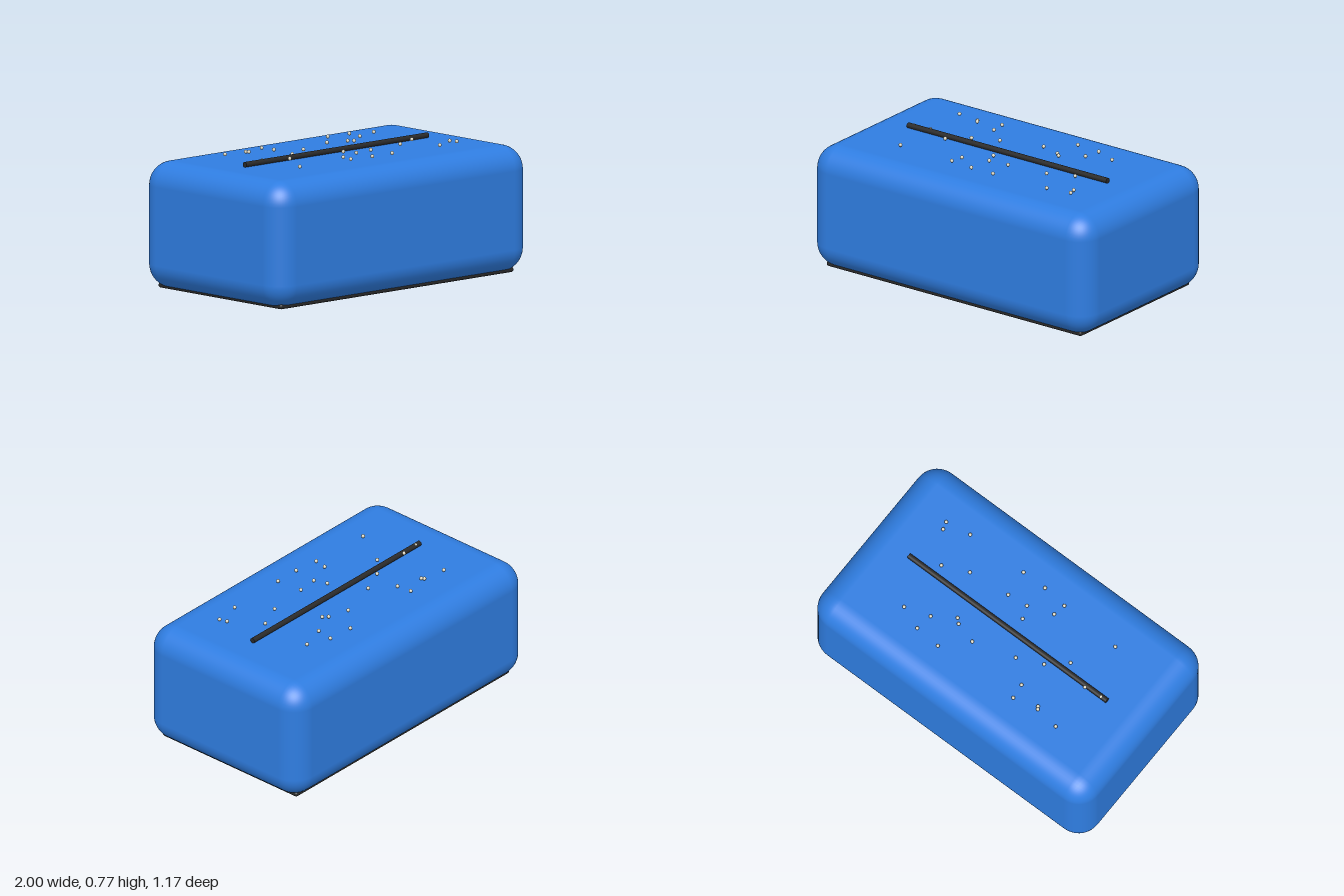
import * as THREE from 'three';
import { RoundedBoxGeometry } from 'three/addons/geometries/RoundedBoxGeometry.js';

const blue = new THREE.MeshStandardMaterial({ name: 'blue', color: 0x2f7de1 });
const black = new THREE.MeshStandardMaterial({ name: 'black', color: 0x2a2a2a });
const ivory = new THREE.MeshStandardMaterial({ name: 'ivory', color: 0xd9d4c0 });

// Scattered bead positions as [x, z]
const BEADS = [
  [-0.585, -0.307], [-0.44, -0.287], [-0.43, -0.272], [-0.286, -0.318], [-0.275, -0.227],
  [-0.147, -0.116], [-0.3, -0.048], [0.11, -0.192], [0.25, -0.333], [0.409, -0.321],
  [0.548, -0.265], [0.393, -0.217], [0.238, -0.155], [0.265, -0.13], [-0.57, -0.014],
  [-0.68, -0.003], [-0.414, 0.052], [-0.556, 0.287], [-0.158, 0.228], [-0.172, 0.305],
  [-0.032, 0.095], [-0.003, 0.173], [0.123, 0.16], [-0.018, 0.322], [0.138, 0.322],
  [0.38, 0.133], [0.535, 0.066], [0.663, 0.246], [0.676, 0.292], [0.52, 0.315],
];

function part(name, geometry, material, x, y, z) {
  const mesh = new THREE.Mesh(geometry, material);
  mesh.name = name;
  mesh.position.set(x, y, z);
  return mesh;
}

export function createModel() {
  const model = new THREE.Group();
  model.name = 'roundedBox';

  // Soft-edged body, just clear of the underside of the base pad
  model.add(part('body', new RoundedBoxGeometry(2, 0.737, 1.17, 6, 0.14), blue, 0, 0.3715, 0));

  // Thin dark pad underneath
  model.add(part('basePad', new RoundedBoxGeometry(1.84, 0.03, 1.03, 3, 0.014), black, 0, 0.015, 0));

  // Rod lying along the middle of the top
  const rod = new THREE.CylinderGeometry(0.016, 0.016, 1.44, 12).rotateZ(Math.PI / 2);
  model.add(part('topRod', rod, black, 0, 0.755, 0));

  // Small beads hovering just above the top
  const beads = new THREE.Group();
  beads.name = 'beads';
  const bead = new THREE.SphereGeometry(0.011, 12, 8);
  for (const [x, z] of BEADS) beads.add(part('bead', bead, ivory, x, 0.761, z));
  model.add(beads);

  return model;
}
